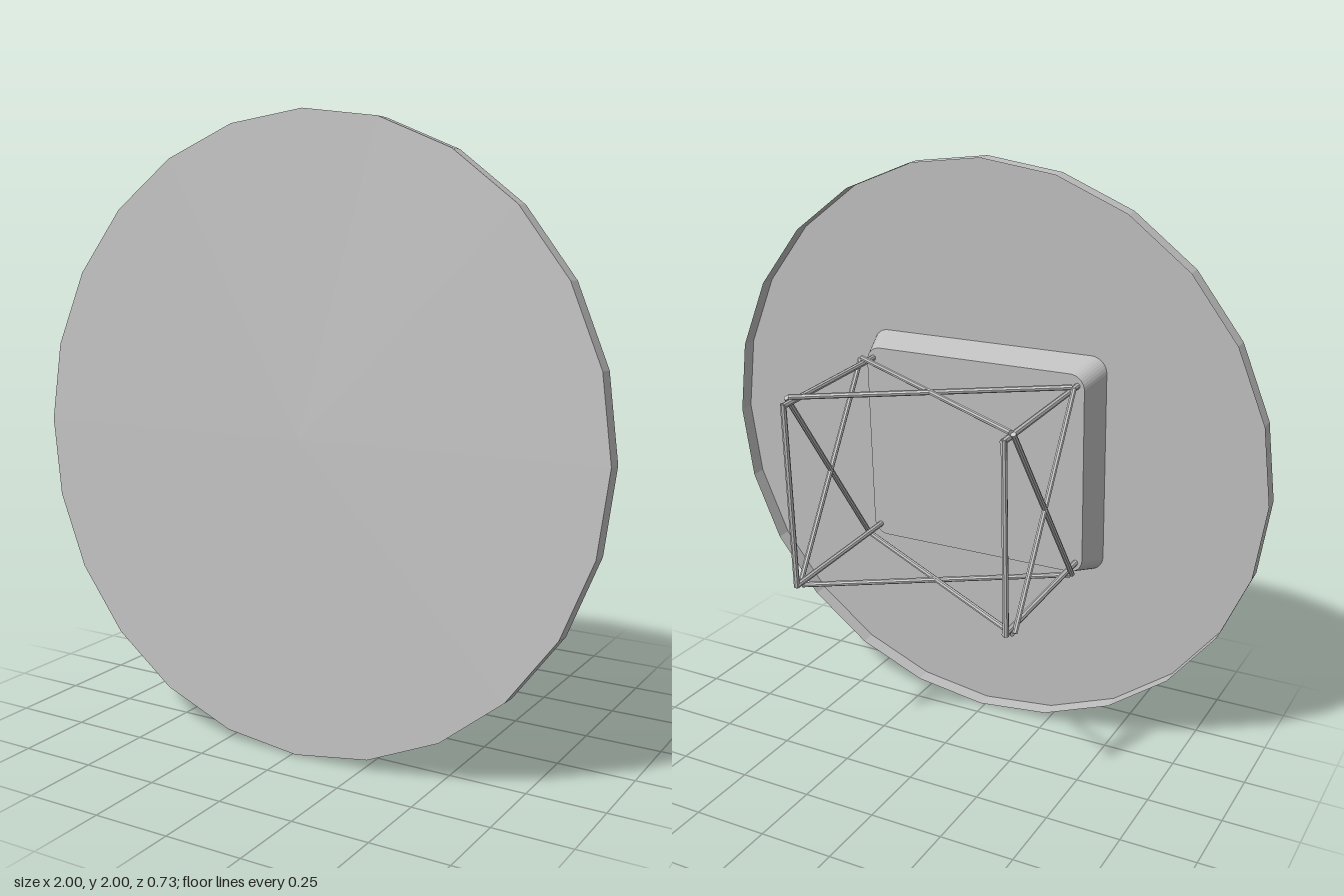
import * as THREE from 'three';

const TILT = 0.055;

export function createModel() {
  const grey = new THREE.MeshStandardMaterial({ color: 0xbfbfbf, flatShading: true, side: THREE.DoubleSide });
  grey.name = 'plain grey';

  const model = new THREE.Group();
  model.name = 'dishOnTrussMount';
  // Everything is built around the centre of the disc face, then leaned back slightly
  const body = new THREE.Group();
  body.name = 'tiltedBody';
  body.position.set(0, 1.002, 0.31);
  body.rotation.x = -TILT;
  model.add(body);

  const add = (name, geometry, parent = body) => {
    const mesh = new THREE.Mesh(geometry, grey);
    mesh.name = name;
    parent.add(mesh);
    return mesh;
  };

  // Disc: flat front face with a rim, open at the back
  const sides = 24, rimDepth = 0.055;
  add('discFace', new THREE.CircleGeometry(1, sides)).rotation.z = 0.016;
  const rim = new THREE.CylinderGeometry(1, 1, rimDepth, sides, 1, true);
  rim.rotateX(Math.PI / 2).translate(0, 0, -rimDepth / 2).rotateZ(0.016);
  add('discRim', rim);

  // Mounting plate: rounded rectangle narrowing towards the back
  const w = 0.435, h = 0.382, r = 0.055, plateDepth = 0.11;
  const outline = new THREE.Shape();
  outline.absarc(w - r, h - r, r, 0, Math.PI / 2);
  outline.absarc(-w + r, h - r, r, Math.PI / 2, Math.PI);
  outline.absarc(-w + r, -h + r, r, Math.PI, Math.PI * 1.5);
  outline.absarc(w - r, -h + r, r, Math.PI * 1.5, Math.PI * 2);
  const plate = new THREE.ExtrudeGeometry(outline, { depth: plateDepth - 0.002, bevelEnabled: false, curveSegments: 4 });
  plate.translate(0, 0, -plateDepth);
  const p = plate.attributes.position;
  for (let i = 0; i < p.count; i++) {
    if (p.getZ(i) < -plateDepth / 2) p.setXY(i, p.getX(i) * 0.925, p.getY(i) * 0.915);
  }
  add('mountingPlate', plate);

  // Truss frame of thin rods
  const truss = new THREE.Group();
  truss.name = 'trussFrame';
  body.add(truss);
  const rod = (name, a, b, radius = 0.01) => {
    const from = new THREE.Vector3(...a), to = new THREE.Vector3(...b);
    const dir = to.clone().sub(from);
    const mesh = add(name, new THREE.CylinderGeometry(radius, radius, dir.length(), 8), truss);
    mesh.position.copy(from).add(to).multiplyScalar(0.5);
    mesh.quaternion.setFromUnitVectors(new THREE.Vector3(0, 1, 0), dir.normalize());
  };
  const near = -0.17, far = -0.613;
  for (const s of [-1, 1]) {
    rod('rearUpright', [s * 0.38, -0.318, -0.65], [s * 0.38, 0.318, -0.65]);
    for (const t of [-1, 1]) {
      rod('longRod', [s * 0.378, t * 0.312, -0.108], [s * 0.378, t * 0.312, -0.655]);
      // Crossed braces on the two sides, then on the top and bottom
      rod('sideBrace', [s * 0.392, t * 0.325, near], [s * 0.392, -t * 0.325, far], 0.009);
      rod('levelBrace', [s * 0.385, t * 0.328, near], [-s * 0.385, t * 0.328, far], 0.009);
    }
  }
  return model;
}
